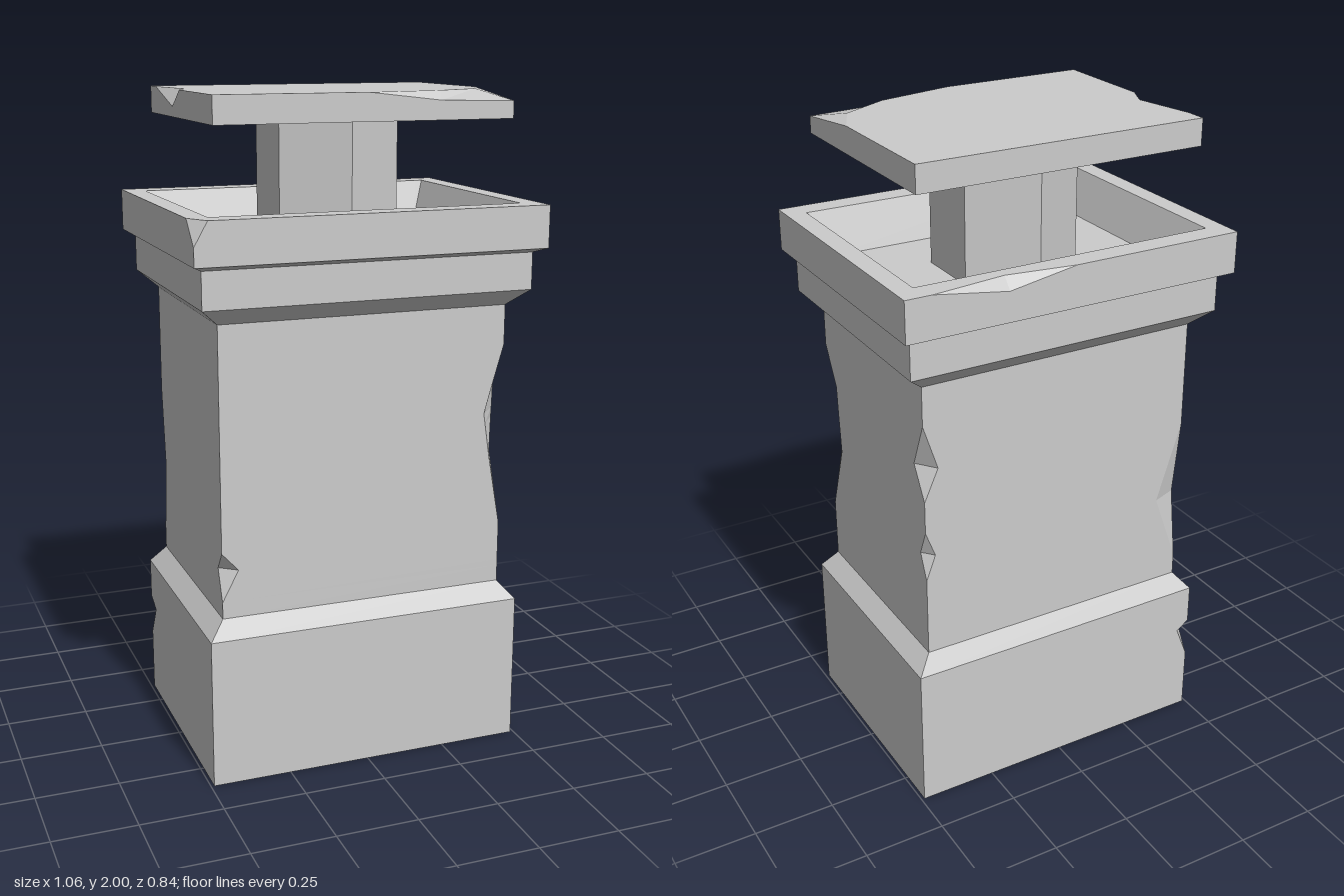
import * as THREE from 'three';

const material = new THREE.MeshStandardMaterial({ color: 0xcccccc, flatShading: true });

// Closed solid through rings of equal point count, each counter-clockwise seen from above
function loft(rings) {
  const pos = [];
  const tri = (...corners) => {
    if (new THREE.Triangle(...corners).getArea() > 1e-7) corners.forEach((p) => pos.push(p.x, p.y, p.z));
  };
  for (let r = 0; r < rings.length - 1; r++) {
    const lower = rings[r], upper = rings[r + 1];
    lower.forEach((a, i) => {
      const j = (i + 1) % lower.length;
      tri(a, lower[j], upper[j]);
      tri(a, upper[j], upper[i]);
    });
  }
  const cap = (ring, down) => {
    const outline = ring.map((p) => new THREE.Vector2(p.x, -p.z));
    for (const [a, b, c] of THREE.ShapeUtils.triangulateShape(outline, [])) {
      if (down) tri(ring[a], ring[c], ring[b]);
      else tri(ring[a], ring[b], ring[c]);
    }
  };
  cap(rings[0], true);
  cap(rings[rings.length - 1], false);
  const geometry = new THREE.BufferGeometry();
  geometry.setAttribute('position', new THREE.Float32BufferAttribute(pos, 3));
  geometry.computeVertexNormals();
  return geometry;
}

// Linear lookup in rows [y, a, b] with rising y
function sample(rows, y) {
  if (y <= rows[0][0]) return rows[0].slice(1);
  for (let i = 1; i < rows.length; i++) {
    const [p, q] = [rows[i - 1], rows[i]];
    if (y <= q[0]) {
      const t = (y - p[0]) / (q[0] - p[0]);
      return [1, 2].map((k) => THREE.MathUtils.lerp(p[k], q[k], t));
    }
  }
  return rows[rows.length - 1].slice(1);
}

// Rectangular column; each corner is worn away by its chip rows [y, dx, dz]
function column(profile, corners) {
  const levels = [...new Set([profile, ...corners.map((c) => c.chips)].flat().map((row) => row[0]))];
  return loft(levels.sort((a, b) => a - b).map((y) => {
    const [hx, hz] = sample(profile, y);
    return corners.flatMap(({ sx, sz, chips }) => {
      const [dx, dz] = sample(chips, y);
      const pair = [
        new THREE.Vector3(sx * hx, y, sz * (hz - dz)),
        new THREE.Vector3(sx * (hx - dx), y, sz * hz),
      ];
      return sx * sz < 0 ? pair : pair.reverse();
    });
  }));
}

// Rings of a slab with outline points [x, z, drop, insetX, insetZ]; a drop breaks the top edge
const flatRing = (points, y, hx = 9, hz = 9) => points.map(([x, z]) => new THREE.Vector3(
  THREE.MathUtils.clamp(x, -hx, hx), y, THREE.MathUtils.clamp(z, -hz, hz)));
const edgeRing = (points, y) => points.map(([x, z, drop = 0]) => new THREE.Vector3(x, y - drop, z));
const topRing = (points, y) => points.map(([x, z, , ix = 0, iz = 0]) => new THREE.Vector3(x + ix, y, z + iz));

export function createModel() {
  const model = new THREE.Group();
  const add = (name, geometry) => {
    const mesh = new THREE.Mesh(geometry, material);
    mesh.name = name;
    model.add(mesh);
    return mesh;
  };

  // Plinth, shaft and flared collar as one worn column
  add('chimneyBody', column(
    [[0, 0.49, 0.365], [0.455, 0.49, 0.365], [0.51, 0.443, 0.328],
      [1.38, 0.443, 0.328], [1.43, 0.5, 0.38], [1.54, 0.5, 0.38]],
    [
      { sx: -1, sz: 1, chips: [[0.56, 0, 0], [0.655, 0.05, 0.04], [0.71, 0, 0]] },
      { sx: 1, sz: 1, chips: [[0.7, 0, 0], [0.92, 0.04, 0.08], [1.05, 0.06, 0.07], [1.14, 0.035, 0.065], [1.26, 0, 0]] },
      { sx: 1, sz: -1, chips: [[0.76, 0, 0], [0.84, 0.03, 0.035], [0.92, 0, 0],
        [1.02, 0, 0], [1.12, 0.045, 0.06], [1.26, 0, 0]] },
      { sx: -1, sz: -1, chips: [[0.2, 0, 0], [0.3, 0.04, 0.06], [0.33, 0, 0],
        [0.58, 0, 0], [0.8, 0.08, 0.03], [1.05, 0, 0]] },
    ],
  ));

  // Rim with a broken corner, a broken back edge and a sunken floor
  const rim = [
    [-0.53, 0.42, 0.07, 0, -0.07], [-0.53, 0.42, 0.07, 0.04, 0],
    [0.53, 0.42], [0.53, -0.42],
    [0.45, -0.42], [0.22, -0.42, 0.035, 0, 0.03], [0.01, -0.42],
    [-0.53, -0.42],
  ];
  add('rim', loft([
    flatRing(rim, 1.54, 0.5, 0.38),
    flatRing(rim, 1.555),
    edgeRing(rim, 1.68),
    topRing(rim, 1.68),
    flatRing(rim, 1.68, 0.47, 0.35),
    flatRing(rim, 1.55, 0.42, 0.3),
  ]));

  // Hexagonal flue
  add('flue', new THREE.CylinderGeometry(0.213, 0.213, 0.38, 6)).position.y = 1.735;

  // Cap slab with a broken front corner and a nicked side
  const cap = [
    [-0.447, 0.335], [0, 0.335],
    [0.22, 0.335, 0.025, 0.02, -0.05], [0.447, 0.335, 0.03, -0.06, -0.13],
    [0.447, 0.08], [0.447, -0.335], [-0.447, -0.335],
    [-0.447, -0.27], [-0.447, -0.08, 0.05, 0.037, 0], [-0.447, 0],
  ];
  add('capSlab', loft([flatRing(cap, 1.92), edgeRing(cap, 2), topRing(cap, 2)]));

  return model;
}
